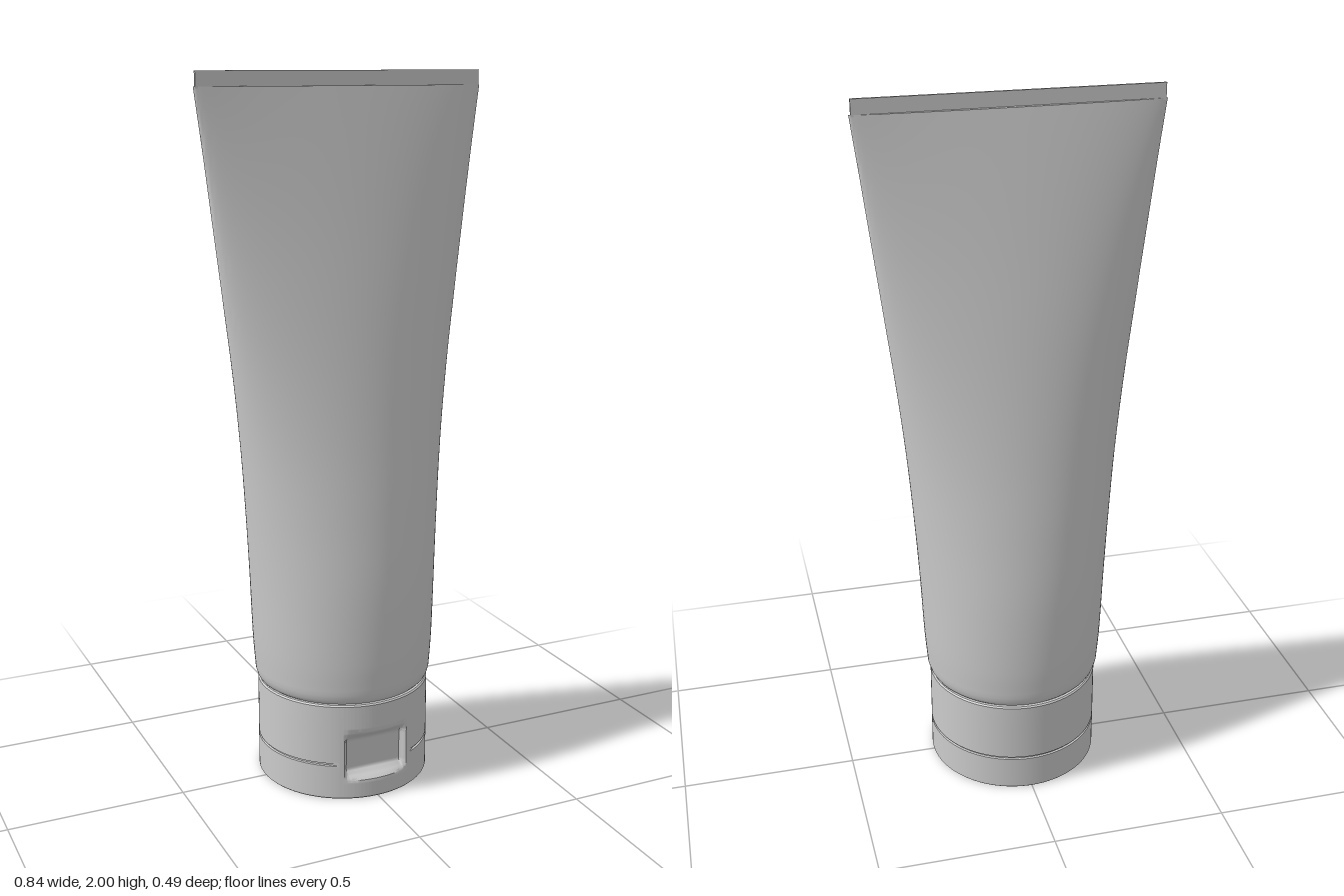
import * as THREE from 'three';
import { toCreasedNormals } from 'three/addons/utils/BufferGeometryUtils.js';

const material = new THREE.MeshStandardMaterial({ color: 0xcccccc, side: THREE.DoubleSide });

// Skin stacked rings; point(row, angle) gives each corner, angle 0 faces +z
function loft(rows, angles, point, crease) {
  const positions = [], index = [], n = angles.length;
  rows.forEach((row, i) => angles.forEach((angle, j) => {
    positions.push(...point(row, angle));
    if (i === 0) return;
    const k = (j + 1) % n, lower = (i - 1) * n, upper = i * n;
    index.push(lower + j, lower + k, upper + k, lower + j, upper + k, upper + j);
  }));
  const geometry = new THREE.BufferGeometry();
  geometry.setAttribute('position', new THREE.Float32BufferAttribute(positions, 3));
  geometry.setIndex(index);
  return toCreasedNormals(geometry, crease);
}

function addMesh(group, name, geometry) {
  const mesh = new THREE.Mesh(geometry, material);
  mesh.name = name;
  group.add(mesh);
  return mesh;
}

// Squeezable body: round at the shoulder, flattening to a wide thin top
function bodyGeometry() {
  // half width, height, half depth
  const sections = [
    [0.255, 0.315, 0.246], [0.262, 0.4, 0.247], [0.272, 0.6, 0.235], [0.285, 0.8, 0.208],
    [0.301, 1.0, 0.175], [0.322, 1.2, 0.142], [0.347, 1.4, 0.109], [0.372, 1.6, 0.075],
    [0.397, 1.8, 0.042], [0.418, 1.96, 0.016],
  ].map(p => new THREE.Vector3(...p));
  const side = new THREE.CatmullRomCurve3(sections).getPoints(54).map(p => [p.x, p.y, p.z]);
  const rows = [
    [0, 0.286, 0], [0.238, 0.286, 0.236], [0.246, 0.292, 0.241], [0.251, 0.301, 0.244],
    ...side, [0, 1.96, 0],
  ];
  const angles = Array.from({ length: 96 }, (_, i) => i / 96 * Math.PI * 2);
  return loft(rows, angles, ([w, y, d], a) => [w * Math.sin(a), y, d * Math.cos(a)], 0.8);
}

// Cap: cylinder with a lid seam and a thumb recess at the front
function capGeometry() {
  const R = 0.247, seamY = 0.105, smooth = THREE.MathUtils.smoothstep;
  const rows = [[0, 0], [R - 0.003, 0], [R, 0.003]];
  for (let y = 0.02; y < 0.1; y += 0.005) rows.push([R, y]);
  rows.push([R, seamY - 0.004], [R - 0.006, seamY - 0.003], [R - 0.006, seamY + 0.003], [R, seamY + 0.004]);
  for (let y = 0.115; y < 0.22; y += 0.005) rows.push([R, y]);
  rows.push([R, 0.281], [R - 0.004, 0.285], [0, 0.285]);

  // Finer spacing across the recess
  const angles = [], front = 0.56;
  for (let i = 0; i < 72; i++) angles.push(-front + 2 * front * i / 72);
  for (let i = 0; i < 72; i++) angles.push(front + (2 * Math.PI - 2 * front) * i / 72);

  const point = ([r, y], a) => {
    const facing = Math.cos(a) > 0, spread = Math.abs(Math.sin(a)) * R;
    // The seam fades out beside the recess
    const radius = facing && r === R - 0.006 ? R - 0.006 * smooth(spread, 0.11, 0.135) : r;
    const x = radius * Math.sin(a);
    let z = radius * Math.cos(a);
    if (facing && r > 0.2) {
      const amount = (1 - smooth(Math.abs(x), 0.082, 0.099))
        * smooth(y, 0.052, 0.08) * (1 - smooth(y, 0.165, 0.206));
      z += (Math.min(z, 0.208) - z) * amount;
    }
    return [x, y, z];
  };
  return loft(rows, angles, point, 0.6);
}

export function createModel() {
  const model = new THREE.Group();
  model.name = 'squeezeTube';
  addMesh(model, 'tubeBody', bodyGeometry());
  addMesh(model, 'flipCap', capGeometry());

  // Flat crimped seal along the top edge
  const seal = addMesh(model, 'crimpSeal', new THREE.BoxGeometry(0.826, 0.045, 0.008));
  seal.position.y = 1.9775;
  return model;
}
